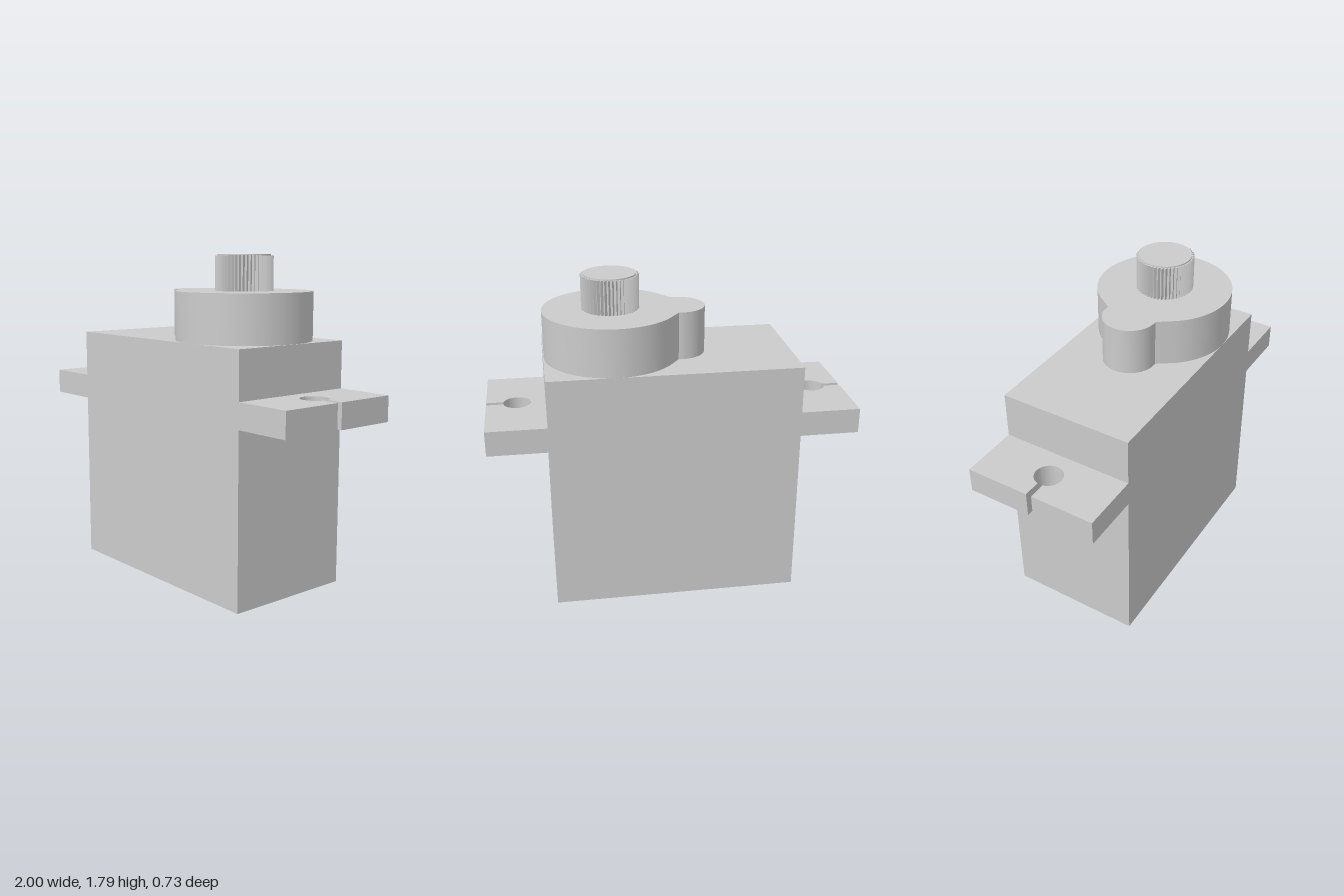
import * as THREE from 'three';
import { toCreasedNormals } from 'three/addons/utils/BufferGeometryUtils.js';

const material = new THREE.MeshStandardMaterial({ color: 0xcccccc });
const HALF_DEPTH = 0.367;
const SHAFT_X = 0.306;

// Extrudes a plan outline upwards from y0 to y1, keeping the rims sharp.
function slab(name, shape, y0, y1, crease = 0.6) {
  const geometry = new THREE.ExtrudeGeometry(shape, {
    depth: y1 - y0, bevelEnabled: false, curveSegments: 48,
  });
  geometry.rotateX(-Math.PI / 2).translate(0, y0, 0);
  const mesh = new THREE.Mesh(toCreasedNormals(geometry, crease), material);
  mesh.name = name;
  return mesh;
}

// Mounting ear with a keyhole: a round screw hole open to the outer edge.
function earShape() {
  const holeX = 0.832, radius = 0.075, slot = 0.015;
  const a = Math.asin(slot / radius);
  const s = new THREE.Shape();
  s.moveTo(0.67, -HALF_DEPTH);
  s.lineTo(1, -HALF_DEPTH);
  s.lineTo(1, -slot);
  s.absarc(holeX, 0, radius, -a, a, true);
  s.lineTo(1, slot);
  s.lineTo(1, HALF_DEPTH);
  s.lineTo(0.67, HALF_DEPTH);
  s.closePath();
  return s;
}

// Gear housing: a large round boss merged with a small one.
function housingShape() {
  const big = Math.atan2(0.235, -0.282);
  const small = Math.atan2(0.144, 0.018);
  const s = new THREE.Shape();
  s.absarc(SHAFT_X, 0, HALF_DEPTH, -big, big, false);
  s.absarc(-0.06, 0, 0.145, small, 2 * Math.PI - small, false);
  s.closePath();
  return s;
}

// Splined shaft outline with narrow triangular teeth.
function splineShape(teeth, inner, outer) {
  const points = [];
  for (let i = 0; i < teeth * 2; i++) {
    const angle = (i / teeth) * Math.PI;
    const r = i % 2 ? inner : outer;
    points.push(new THREE.Vector2(SHAFT_X + r * Math.cos(angle), r * Math.sin(angle)));
  }
  return new THREE.Shape(points);
}

export function createModel() {
  const model = new THREE.Group();
  model.name = 'servoMotor';

  // Main case
  const body = new THREE.Mesh(new THREE.BoxGeometry(1.354, 1.34, HALF_DEPTH * 2), material);
  body.name = 'body';
  body.position.y = 0.67;
  model.add(body);

  // Mounting ears on both ends
  const leftEar = slab('leftEar', earShape(), 0.945, 1.083);
  const rightEar = slab('rightEar', earShape(), 0.945, 1.083);
  rightEar.rotation.y = Math.PI;
  model.add(leftEar, rightEar);

  // Gear housing and output shaft
  model.add(slab('gearHousing', housingShape(), 1.335, 1.6));
  model.add(slab('outputSpline', splineShape(48, 0.142, 0.155), 1.595, 1.785, 0.2));

  // Plain cap disc on the end of the spline
  const cap = new THREE.Mesh(
    toCreasedNormals(new THREE.CylinderGeometry(0.141, 0.142, 0.02, 48), 0.6), material);
  cap.name = 'shaftCap';
  cap.position.set(SHAFT_X, 1.782, 0);
  model.add(cap);

  return model;
}
